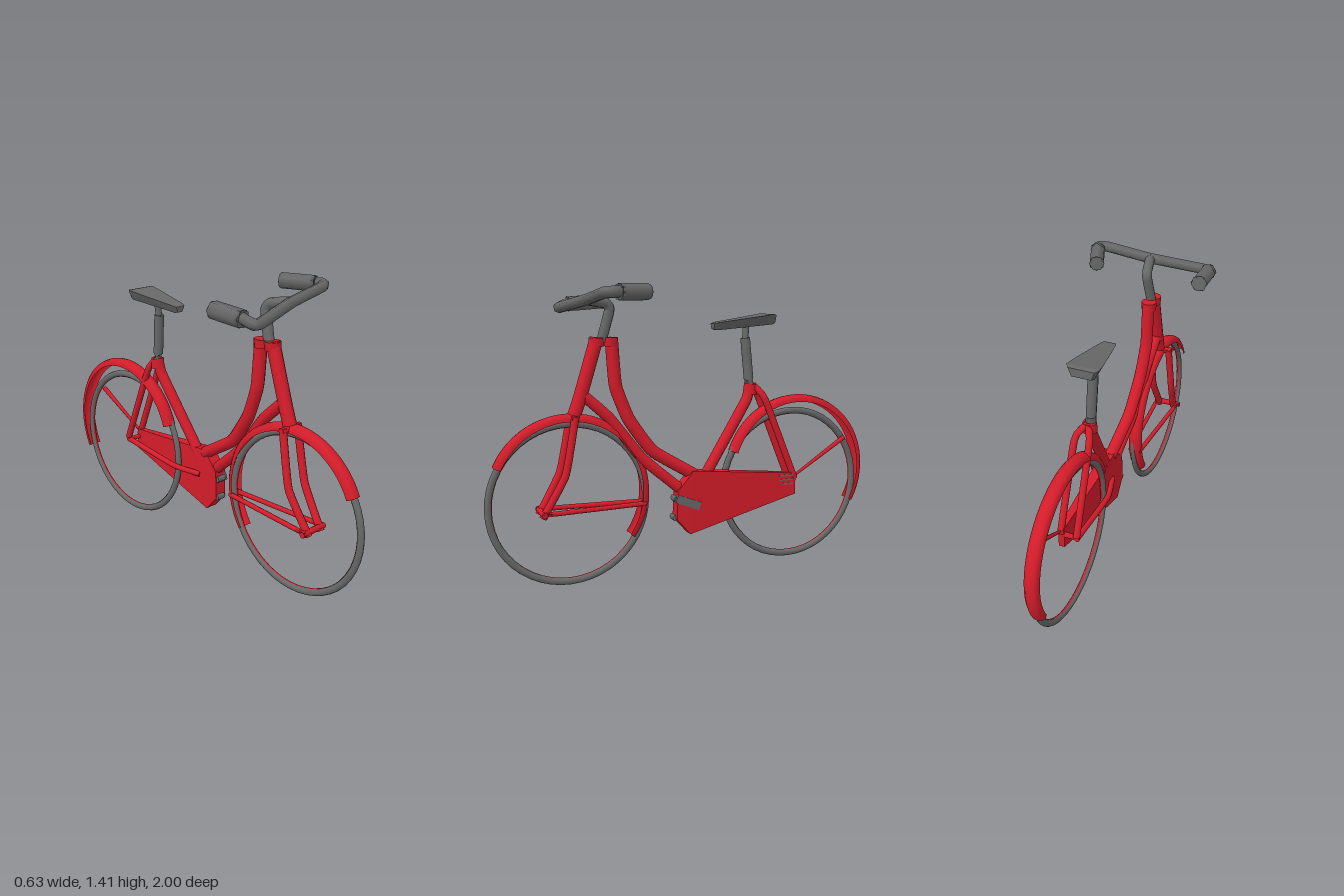
import * as THREE from 'three';
import { ConvexGeometry } from 'three/addons/geometries/ConvexGeometry.js';

const mat = (name, color) => {
  const m = new THREE.MeshStandardMaterial({ color, side: THREE.DoubleSide });
  m.name = name;
  return m;
};

export function createModel() {
  const red = mat('red paint', 0xd41c2a);
  const grey = mat('dark grey', 0x686868);
  const bike = new THREE.Group();
  bike.name = 'bicycle';
  const wheelX = -0.013;

  const add = (name, geo, material, parent = bike) => {
    const m = new THREE.Mesh(geo, material);
    m.name = name;
    parent.add(m);
    return m;
  };

  // Capped tube through a few points, with tight bends
  const tube = (name, pts, r, material, sides = 10) => {
    const g = new THREE.Group();
    g.name = name;
    const v = pts.map((p) => new THREE.Vector3(...p));
    const curve = new THREE.CatmullRomCurve3(v, false, 'catmullrom', 0.2);
    add(name + 'Body', new THREE.TubeGeometry(curve, (v.length - 1) * 8, r, sides), material, g);
    for (const t of [0, 1]) {
      const dir = curve.getTangent(t).multiplyScalar(t ? 1 : -1);
      const cap = add(name + 'End', new THREE.CircleGeometry(r, sides), material, g);
      cap.position.copy(v[t ? v.length - 1 : 0]);
      cap.quaternion.setFromUnitVectors(new THREE.Vector3(0, 0, 1), dir);
    }
    bike.add(g);
  };

  // Wheels: tyre with a narrow painted rim inside
  const wheel = (name, z) => {
    const g = new THREE.Group();
    g.name = name;
    const tyre = new THREE.TorusGeometry(0.379, 0.017, 10, 48);
    tyre.scale(1, 1, 0.85);
    add('tyre', tyre, grey, g);
    const rim = new THREE.CylinderGeometry(0.3615, 0.3615, 0.009, 48, 1, true);
    rim.rotateX(Math.PI / 2);
    add('rim', rim, red, g);
    g.rotation.y = Math.PI / 2;
    g.position.set(wheelX, 0.396, z);
    bike.add(g);
  };
  wheel('frontWheel', 0.6);
  wheel('rearWheel', -0.57);

  // Mudguards: an open channel swept round part of a circle
  const mudguard = (name, z, y, R, fromDeg, toDeg) => {
    const profile = [[-0.036, -0.033], [-0.018, -0.033], [-0.004, -0.02], [0, 0],
      [-0.004, 0.02], [-0.018, 0.033], [-0.036, 0.033]]
      .map(([dr, x]) => new THREE.Vector2(R + dr, x));
    const rad = Math.PI / 180;
    const geo = new THREE.LatheGeometry(profile, 32, -toDeg * rad, (toDeg - fromDeg) * rad);
    geo.rotateZ(-Math.PI / 2);
    add(name, geo, red).position.set(wheelX - 0.006, y, z);
  };
  mudguard('frontMudguard', 0.597, 0.43, 0.392, 25, 216);
  mudguard('rearMudguard', -0.603, 0.458, 0.397, 19, 209);

  // Steering tube with collars at the head
  for (const [name, z] of [['steeringCollar', 0.453], ['frameCollar', 0.388]]) {
    add(name, new THREE.CylinderGeometry(0.038, 0.036, 0.04, 10), red).position.set(-0.021, 1.148, z);
  }
  tube('steeringTube', [[-0.021, 1.165, 0.452], [-0.02, 0.9, 0.535], [-0.02, 0.81, 0.567]],
    0.032, red);

  // Step-through frame tubes
  tube('mainTube', [[-0.02, 1.165, 0.382], [-0.02, 0.94, 0.365], [-0.012, 0.78, 0.305],
    [0, 0.62, 0.19], [0.02, 0.49, -0.02]], 0.031, red);
  tube('lowerTube', [[-0.02, 0.91, 0.53], [-0.012, 0.79, 0.40], [0, 0.59, 0.245],
    [0.025, 0.42, 0.05]], 0.027, red);
  tube('seatTube', [[-0.018, 0.92, -0.335], [-0.012, 0.84, -0.315], [0.02, 0.5, -0.09],
    [0.025, 0.4, -0.03]], 0.027, red);
  add('seatLug', new THREE.CylinderGeometry(0.032, 0.034, 0.05, 10), red)
    .position.set(-0.016, 0.895, -0.34);

  // Front fork: crown, legs, axle and mudguard stays
  tube('forkCrown', [[-0.085, 0.8, 0.575], [0.035, 0.8, 0.575]], 0.016, red, 8);
  for (const [side, x, foot] of [['left', 0.024, 0.035], ['right', -0.072, -0.085]]) {
    tube(side + 'ForkLeg', [[x, 0.81, 0.572], [x * 1.1, 0.54, 0.625],
      [x * 0.85, 0.345, 0.735]], 0.018, red);
    tube(side + 'FrontStay', [[foot, 0.365, 0.735], [-0.02 + Math.sign(x) * 0.025, 0.365, 0.225]],
      0.012, red, 8);
  }
  tube('frontAxle', [[-0.1, 0.363, 0.73], [0.045, 0.363, 0.73]], 0.015, red, 8);

  // Rear stays
  for (const [side, x] of [['left', 0.04], ['right', -0.04]]) {
    tube(side + 'SeatStay', [[-0.012, 0.915, -0.35], [x * 0.9, 0.85, -0.395],
      [x, 0.43, -0.57]], 0.017, red);
  }
  tube('chainStay', [[0, 0.37, -0.04], [-0.04, 0.38, -0.2], [-0.04, 0.42, -0.57]], 0.014, red);
  tube('rearAxle', [[-0.05, 0.42, -0.56], [0.045, 0.42, -0.56]], 0.013, red, 8);

  // Mudguard strut, widening towards the mudguard
  const strut = add('mudguardStrut', new THREE.CylinderGeometry(0.013, 0.007, 0.355, 8), red);
  strut.position.set(0.033, 0.53, -0.717);
  strut.quaternion.setFromUnitVectors(new THREE.Vector3(0, 1, 0),
    new THREE.Vector3(-0.014, 0.18, -0.305).normalize());

  // Chain case, wider at the front
  const casePoints = [];
  for (const [z, y] of [[0, 0.515], [0.08, 0.42], [0.085, 0.28], [0.015, 0.2],
    [-0.57, 0.35], [-0.57, 0.46]]) {
    const back = z < -0.3;
    casePoints.push(new THREE.Vector3(back ? 0.022 : -0.005, y, z),
      new THREE.Vector3(back ? 0.052 : 0.058, y, z));
  }
  add('chainCase', new ConvexGeometry(casePoints), red);

  // Narrow grey slots near the rear hub
  for (const [y, z, length] of [[0.45, -0.52, 0.09], [0.428, -0.515, 0.08], [0.406, -0.525, 0.06]]) {
    add('hubSlot', new THREE.BoxGeometry(0.004, 0.008, length), grey).position.set(0.0525, y, z);
  }

  // Cranks: one wraps the front edge of the chain case, one sits below on its nose
  tube('crankAxle', [[0, 0.38, 0.083], [0.05, 0.38, 0.083]], 0.016, grey, 6);
  const crank = add('crank', new THREE.BoxGeometry(0.02, 0.04, 0.13), grey);
  crank.position.set(0.054, 0.362, 0.026);
  crank.rotation.x = -0.38;
  tube('lowerCrank', [[-0.004, 0.285, 0.087], [0.042, 0.285, 0.087]], 0.015, grey, 6);

  // Saddle and post
  tube('seatPost', [[-0.018, 0.92, -0.333], [-0.024, 1.15, -0.312]], 0.024, grey);
  tube('saddleClamp', [[-0.024, 1.14, -0.313], [-0.03, 1.215, -0.318]], 0.016, grey);
  const saddlePoints = [];
  for (const [z, top, bottom, w, wb] of [[-0.46, 1.262, 1.222, 0.06, 0.045],
    [-0.44, 1.266, 1.215, 0.075, 0.05], [-0.36, 1.255, 1.208, 0.066, 0.035],
    [-0.16, 1.228, 1.19, 0.034, 0.015], [-0.14, 1.222, 1.195, 0.026, 0.014]]) {
    for (const s of [-1, 1]) {
      saddlePoints.push(new THREE.Vector3(-0.035 + s * w, top, z),
        new THREE.Vector3(-0.035 + s * wb, bottom, z));
    }
  }
  add('saddle', new ConvexGeometry(saddlePoints), grey);

  // Stem, turned handlebar and grips
  tube('stem', [[-0.02, 1.15, 0.43], [-0.006, 1.295, 0.393], [0, 1.325, 0.415],
    [0.02, 1.34, 0.505]], 0.025, grey, 8);
  tube('handlebar', [[-0.28, 1.325, 0.51], [-0.25, 1.3, 0.575], [0.02, 1.34, 0.512],
    [0.24, 1.373, 0.492], [0.29, 1.377, 0.462], [0.268, 1.378, 0.425]], 0.026, grey, 6);
  tube('rightGrip', [[-0.275, 1.318, 0.52], [-0.28, 1.33, 0.35]], 0.04, grey, 6);
  tube('leftGrip', [[0.268, 1.377, 0.435], [0.21, 1.377, 0.28]], 0.037, grey, 6);

  return bike;
}
